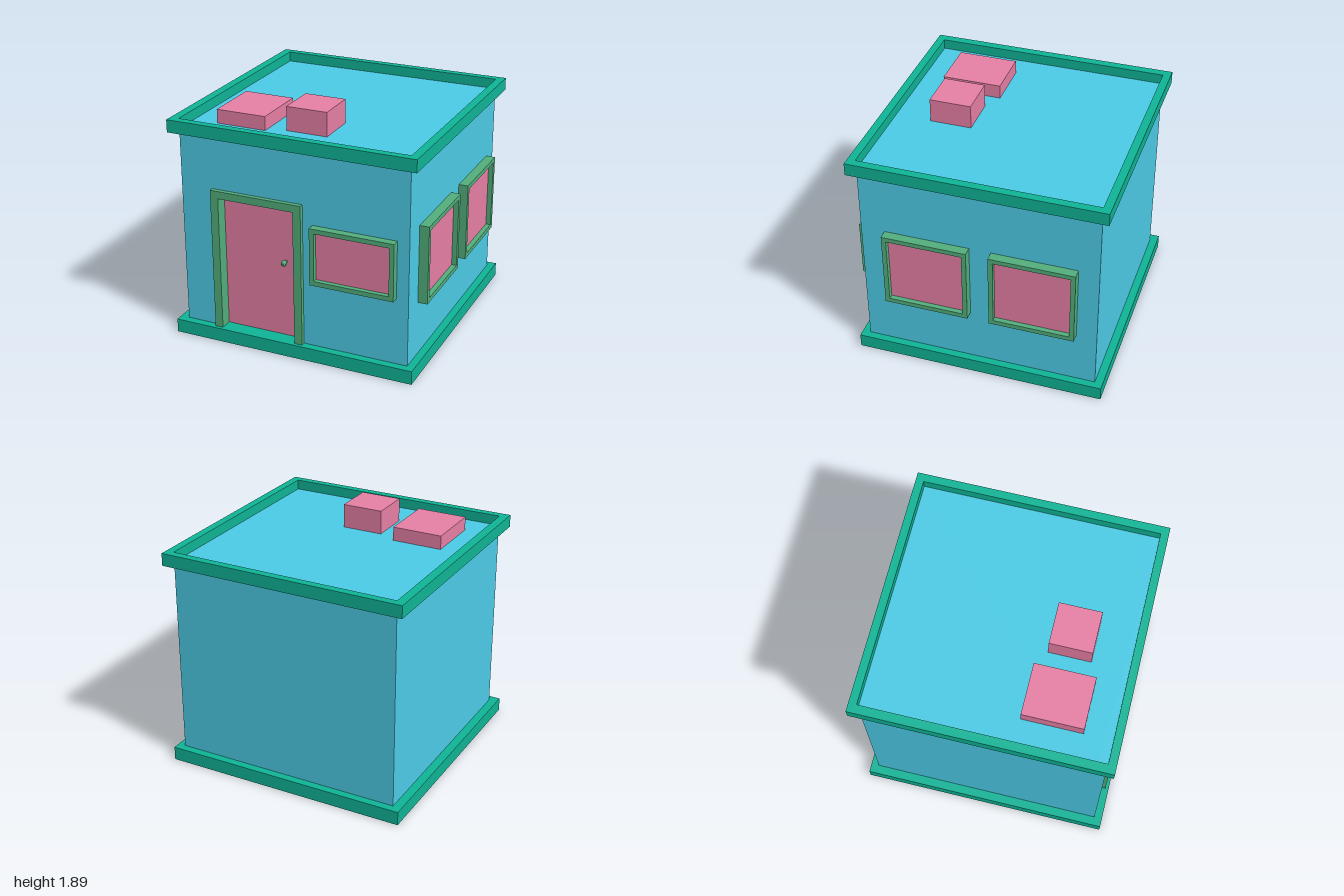
import * as THREE from 'three';

const paint = (color, extra = {}) => new THREE.MeshStandardMaterial({ color, ...extra });

export function createModel() {
  const model = new THREE.Group();
  model.name = 'shop';
  const teal = paint(0x0fb496), blue = paint(0x4ccbe6), green = paint(0x52ae7c), pink = paint(0xe67fa5);
  const knobGreen = paint(0x52ae7c, { flatShading: true });

  const add = (name, geometry, material, parent = model) => {
    const mesh = new THREE.Mesh(geometry, material);
    mesh.name = name;
    parent.add(mesh);
    return mesh;
  };

  // Box given by its lower and upper limits
  const block = (name, material, [x0, x1], [y0, y1], [z0, z1], parent) => {
    const mesh = add(name, new THREE.BoxGeometry(x1 - x0, y1 - y0, z1 - z0), material, parent);
    mesh.position.set((x0 + x1) / 2, (y0 + y1) / 2, (z0 + z1) / 2);
    return mesh;
  };

  const outline = (pts) => new THREE.Shape(pts.map(([x, y]) => new THREE.Vector2(x, y)));
  const rect = (x0, x1, y0, y1) => outline([[x0, y0], [x1, y0], [x1, y1], [x0, y1]]);
  const extrude = (shape, depth) => new THREE.ExtrudeGeometry(shape, { depth, bevelEnabled: false });

  // Plinth
  block('base', teal, [-1, 0.985], [0, 0.11], [-0.993, 0.993]);

  // Walls: solid body plus a front layer with the door opening cut out
  block('walls', blue, [-0.93, 0.925], [0.11, 1.7], [-0.93, 0.86]);
  const front = outline([
    [-0.93, 0.11], [-0.62, 0.11], [-0.62, 1.22], [0.04, 1.22],
    [0.04, 0.11], [0.925, 0.11], [0.925, 1.7], [-0.93, 1.7],
  ]);
  add('frontWall', extrude(front, 0.07), blue).position.z = 0.86;

  // Parapet around the sunken roof
  const rim = rect(-1, 0.99, -0.993, 0.993);
  rim.holes.push(rect(-0.93, 0.925, -0.93, 0.93));
  const parapet = add('parapet', extrude(rim, 0.1), teal);
  parapet.rotation.x = -Math.PI / 2;
  parapet.position.y = 1.68;

  // Roof units
  block('lowRoofUnit', pink, [-0.73, -0.325], [1.69, 1.81], [0.24, 0.71]);
  block('tallRoofUnit', pink, [-0.18, 0.15], [1.69, 1.89], [0.315, 0.645]);

  // Recessed door with a deep three-sided frame
  const door = new THREE.Group();
  door.name = 'door';
  model.add(door);
  const jambs = outline([
    [-0.67, 0.11], [-0.605, 0.11], [-0.605, 1.2], [0.015, 1.2],
    [0.015, 0.11], [0.08, 0.11], [0.08, 1.26], [-0.67, 1.26],
  ]);
  add('doorFrame', extrude(jambs, 0.105), green, door).position.z = 0.861;
  block('doorPanel', pink, [-0.605, 0.015], [0.11, 1.2], [0.84, 0.866], door);

  // Knob on a short stem
  const stem = add('knobStem', new THREE.CylinderGeometry(0.011, 0.011, 0.04, 8), knobGreen, door);
  stem.rotation.x = Math.PI / 2;
  stem.position.set(-0.09, 0.74, 0.88);
  const knob = add('doorKnob', new THREE.SphereGeometry(0.024, 10, 8), knobGreen, door);
  knob.position.set(-0.09, 0.74, 0.908);

  // Framed window built facing +z, then turned onto its wall
  const addWindow = (name, width, height, border, depth, paneDepth) => {
    const group = new THREE.Group();
    group.name = name;
    const w = width / 2, h = height / 2;
    const frame = rect(-w, w, -h, h);
    frame.holes.push(rect(-w + border, w - border, -h + border, h - border));
    add('windowFrame', extrude(frame, depth), green, group);
    block('windowPane', pink, [-w + border, w - border], [-h + border, h - border], [-0.02, paneDepth], group);
    model.add(group);
    return group;
  };

  addWindow('frontWindow', 0.67, 0.46, 0.037, 0.063, 0.025).position.set(0.495, 0.88, 0.93);
  for (const z of [0.405, -0.435]) {
    const side = addWindow('sideWindow', 0.67, 0.625, 0.037, 0.075, 0.035);
    side.position.set(0.925, 0.86, z);
    side.rotation.y = Math.PI / 2;
  }

  return model;
}
